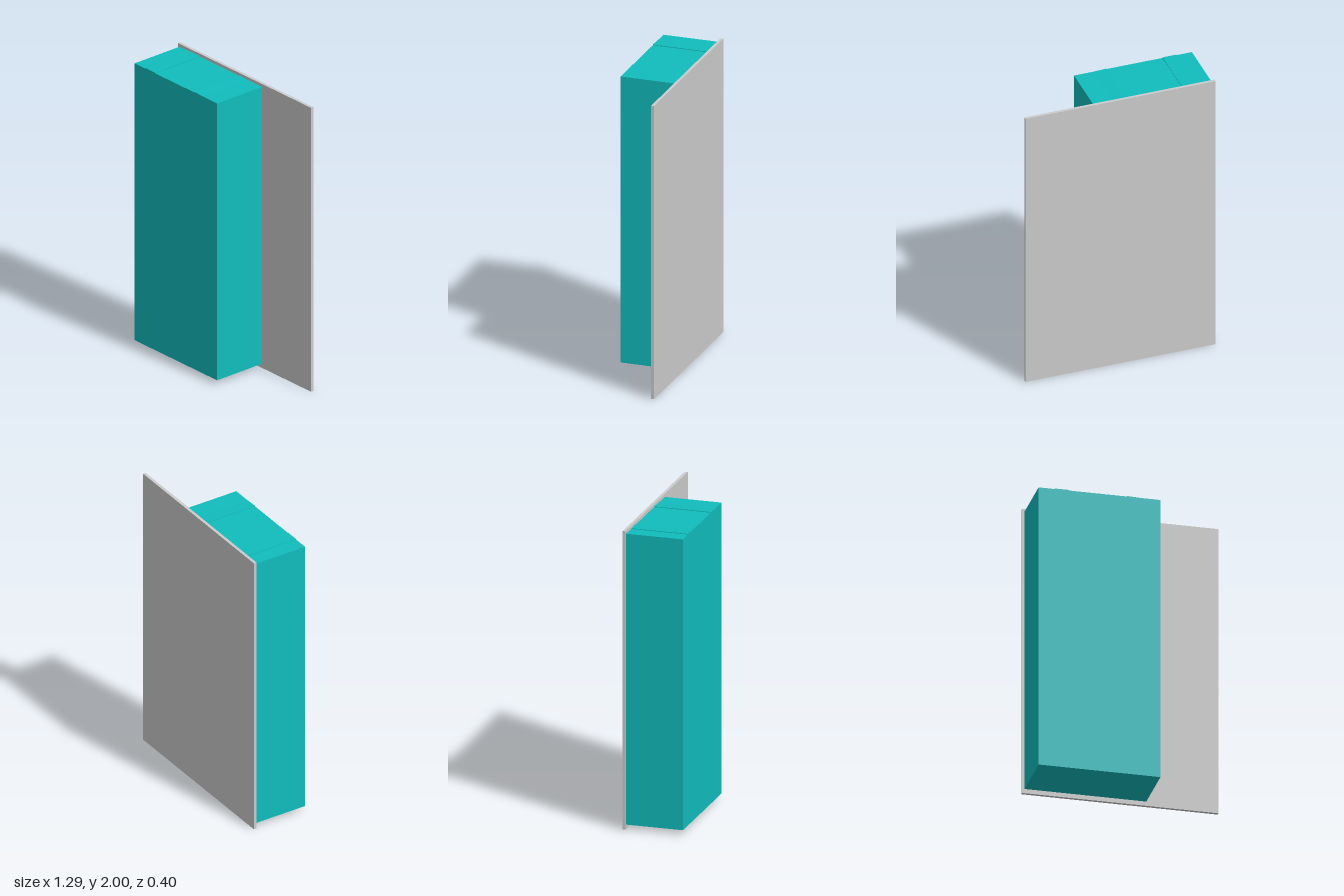
import * as THREE from 'three';

export function createModel() {
  const model = new THREE.Group();
  const grey = new THREE.MeshStandardMaterial({ color: 0xcccccc, flatShading: true });
  const teal = new THREE.MeshStandardMaterial({ color: 0x11bcbd, flatShading: true });

  // Thin upright panel at the back
  const backPanel = new THREE.Mesh(new THREE.BoxGeometry(1.29, 2, 0.02), grey);
  backPanel.name = 'backPanel';
  backPanel.position.set(0, 1, -0.19);
  model.add(backPanel);

  // Tall block, its top edge carrying a shallow raised strip and a slight wedge
  const outline = [
    [-0.63, 0.03], [0.17, 0.03], [0.17, 1.98],
    [0.04, 1.98], [-0.05, 1.984], [-0.05, 1.98],
    [-0.43, 1.98], [-0.43, 1.984], [-0.525, 1.984], [-0.525, 1.98],
    [-0.63, 1.98],
  ];
  const shape = new THREE.Shape(outline.map(([x, y]) => new THREE.Vector2(x, y)));
  const block = new THREE.Mesh(
    new THREE.ExtrudeGeometry(shape, { depth: 0.38, bevelEnabled: false }), teal);
  block.name = 'frontBlock';
  block.position.z = -0.18;
  model.add(block);

  return model;
}
